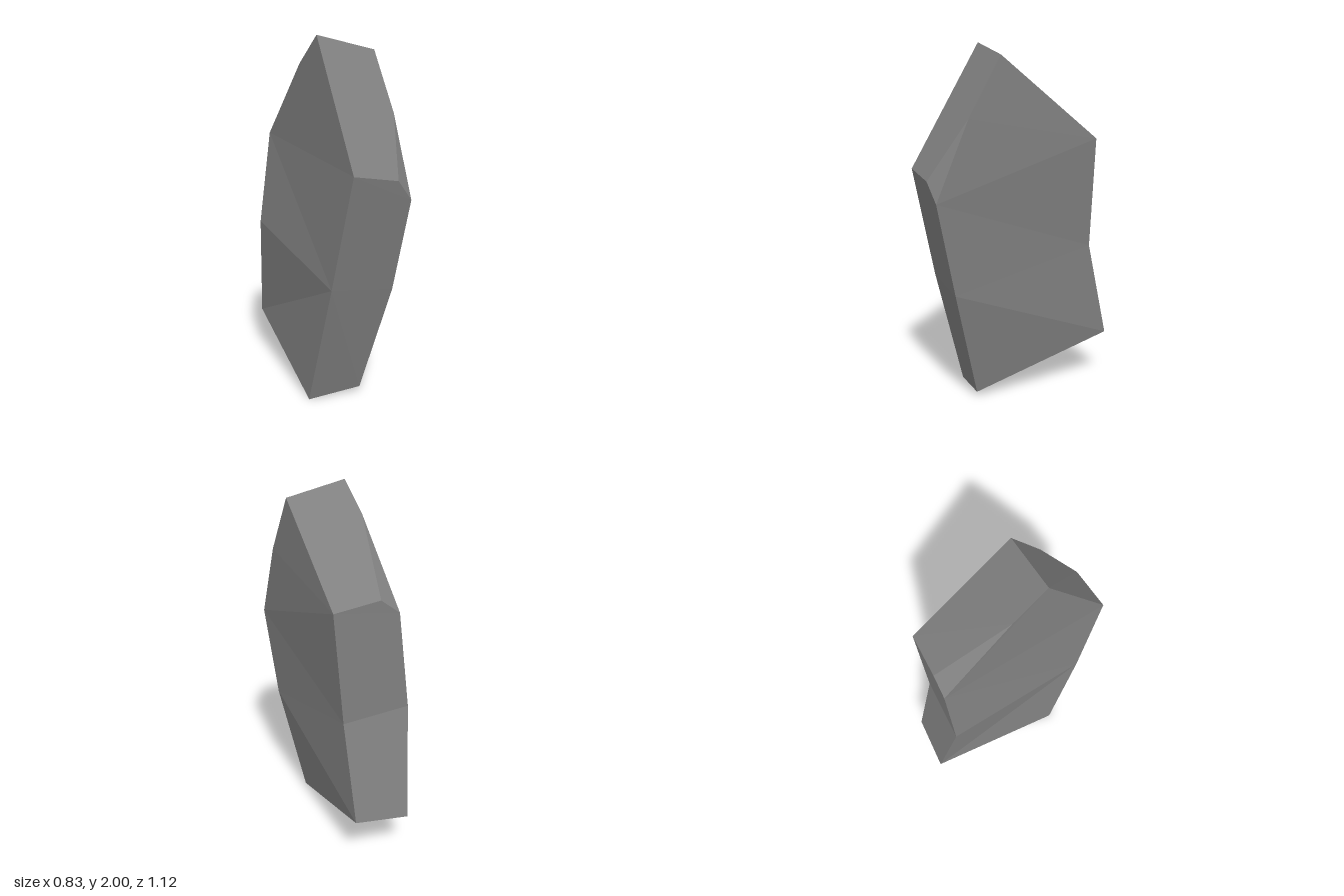
import * as THREE from 'three';

// Corners of the leaning slab
const corners = {
  A: [-0.07, 2.0, 0.195], B: [0.243, 1.925, 0.067], C: [0.105, 1.315, 0.56], D: [0.34, 1.275, 0.457],
  E: [0.415, 1.165, 0.403], F: [0.335, 1.6, 0.235], H: [0.335, 0.65, 0.315], I: [0.17, 0.03, 0.21],
  J: [-0.12, 0, 0.305], K: [0, 0.69, 0.453], L: [-0.42, 0.26, -0.465], M: [-0.345, 1.43, -0.345],
  N: [-0.16, 1.85, 0.02], P: [-0.41, 0.885, -0.325], Q: [-0.245, 1.51, -0.383], R: [-0.06, 0.84, -0.447],
  S: [-0.005, 1.47, -0.47], T: [-0.13, 0.285, -0.56],
};

// Facets of each side, counter-clockwise from outside
const sides = {
  broadRightSide: 'ANM AMC MPK MKC PLK LJK',
  broadLeftSide: 'BFS FES ERS EHR HTR HIT',
  topFacets: 'NABSQ NQM',
  upperFrontFacets: 'ACDFB DEF',
  lowerFront: 'KJIH CKHED',
  back: 'MQSRP PRTL',
  underside: 'LTIJ',
};

// Each facet is filled as a fan from its first corner
function facetGeometry(facets) {
  const points = [];
  for (const f of facets.split(' ')) {
    for (let i = 1; i < f.length - 1; i++) {
      points.push(...corners[f[0]], ...corners[f[i]], ...corners[f[i + 1]]);
    }
  }
  const geometry = new THREE.BufferGeometry();
  geometry.setAttribute('position', new THREE.Float32BufferAttribute(points, 3));
  geometry.computeVertexNormals();
  return geometry;
}

export function createModel() {
  const rock = new THREE.Group();
  rock.name = 'rock';
  const stone = new THREE.MeshStandardMaterial({ color: 0x808080, flatShading: true });
  stone.name = 'grey stone';
  for (const [name, facets] of Object.entries(sides)) {
    const mesh = new THREE.Mesh(facetGeometry(facets), stone);
    mesh.name = name;
    rock.add(mesh);
  }
  return rock;
}
